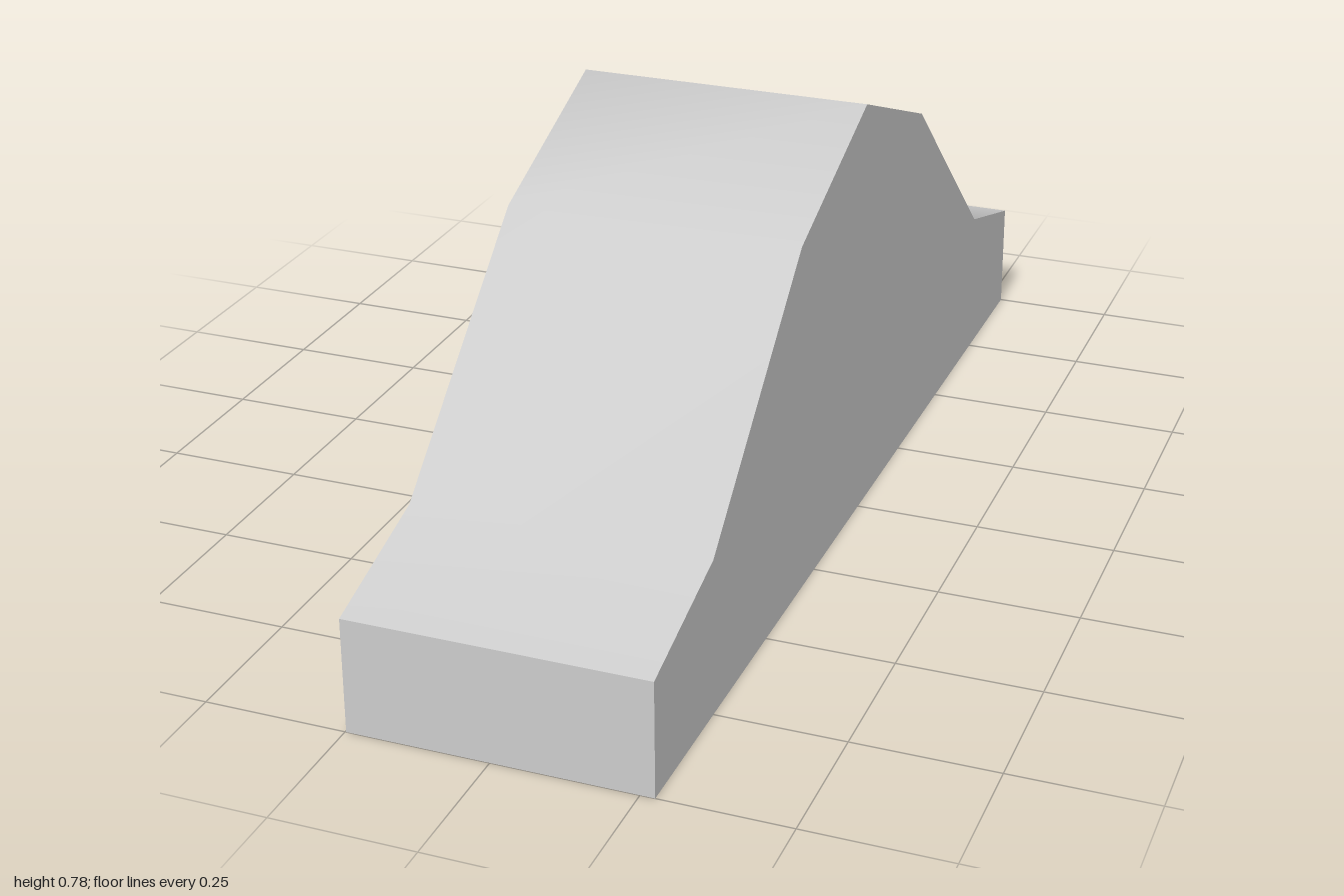
import * as THREE from 'three';
import { toCreasedNormals } from 'three/addons/utils/BufferGeometryUtils.js';

const material = new THREE.MeshStandardMaterial({ color: 0xcccccc });

// Extrudes a [z, y] outline along x, from xMax down to xMin.
function slab(name, outline, xMin, xMax, crease, bevel = 0) {
  const shape = new THREE.Shape(outline.map(([z, y]) => new THREE.Vector2(z, y)));
  const geometry = new THREE.ExtrudeGeometry(shape, {
    depth: xMax - xMin - 2 * bevel,
    bevelEnabled: bevel > 0,
    bevelThickness: bevel,
    bevelSize: bevel,
    bevelOffset: -bevel,
    bevelSegments: 1,
  });
  geometry.rotateY(-Math.PI / 2);
  geometry.translate(xMax - bevel, 0, 0);
  const mesh = new THREE.Mesh(toCreasedNormals(geometry, crease), material);
  mesh.name = name;
  return mesh;
}

// Completes a half outline by mirroring every off-axis point to -z.
function mirrored(half) {
  const other = half.filter(([z]) => z > 0).reverse().map(([z, y]) => [-z, y]);
  return [...half, ...other];
}

export function createModel() {
  const group = new THREE.Group();
  group.name = 'mantelClock';

  // Humped case, softly shaded over the top and sharp at the ends
  const caseHalf = [[1, 0], [1, 0.205], [0.75, 0.28], [0.34, 0.645], [0, 0.777]];
  group.add(slab('case', mirrored(caseHalf), -0.248, 0.275, 0.9));

  // Faceted dial raised from the side
  const dialHalf = [[0, 0.125], [0.18, 0.16], [0.283, 0.265], [0.283, 0.465], [0.17, 0.587], [0, 0.639]];
  group.add(slab('dial', mirrored(dialHalf), -0.269, -0.246, 0.55, 0.003));

  // Small stud at the centre of the dial
  const stud = new THREE.Mesh(new THREE.CylinderGeometry(0.023, 0.023, 0.012, 10), material);
  stud.name = 'dialStud';
  stud.rotation.z = Math.PI / 2;
  stud.position.set(-0.271, 0.377, 0);
  group.add(stud);

  return group;
}
